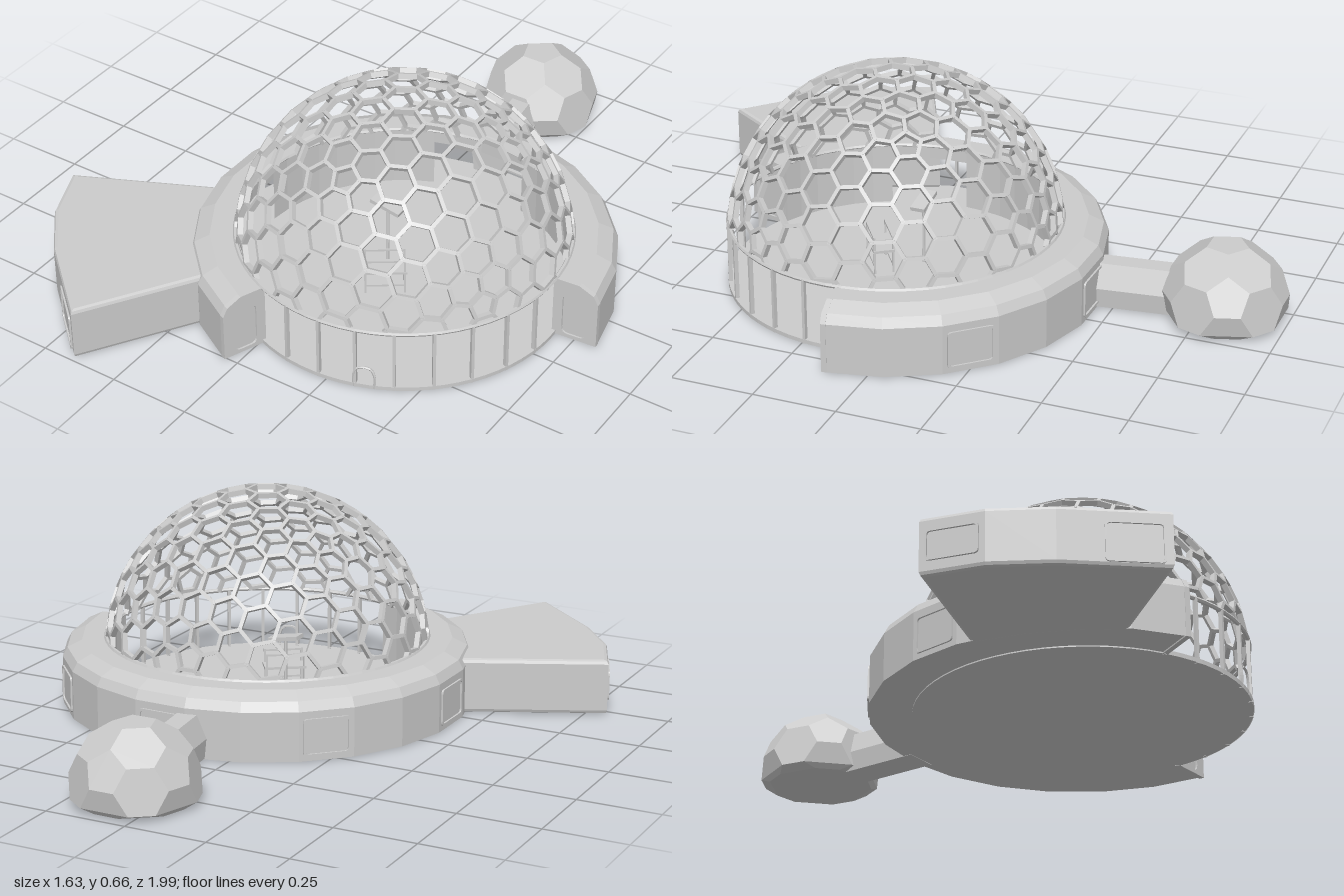
import * as THREE from 'three';
import { mergeGeometries } from 'three/addons/utils/BufferGeometryUtils.js';
import { ConvexGeometry } from 'three/addons/geometries/ConvexGeometry.js';

const CX = 0.19, CZ = 0.17, R = 0.5;          // dome axis and radius
const A0 = -248, A1 = -4.6;                   // ring sweep in degrees, x = cos, z = sin
const rad = THREE.MathUtils.degToRad;
const V = (x, y, z) => new THREE.Vector3(x, y, z);
const grey = new THREE.MeshStandardMaterial({ color: 0xcccccc, flatShading: true });
const thin = new THREE.MeshStandardMaterial({ color: 0xcccccc, flatShading: true, side: THREE.DoubleSide });

function add(parent, name, geo, mat = grey) {
  const m = new THREE.Mesh(geo, mat);
  m.name = name;
  parent.add(m);
  return m;
}

// Profile [radius, y] swept about the dome axis between two angles
function sweep(profile, a0, a1, n) {
  const pts = profile.map(p => new THREE.Vector2(p[0], p[1]));
  return new THREE.LatheGeometry(pts, n, rad(90 - a1), rad(a1 - a0));
}

// Square bar between two points, its depth pointing along "out"
function bar(a, b, w, d, out) {
  const z = b.clone().sub(a), len = z.length();
  z.normalize();
  const x = out.clone().cross(z).normalize(), y = z.clone().cross(x);
  const mid = a.clone().add(b).multiplyScalar(0.5);
  return new THREE.BoxGeometry(w, d, len + w * 0.4)
    .applyMatrix4(new THREE.Matrix4().makeBasis(x, y, z).setPosition(mid));
}

function roundedRect(s, x0, y0, x1, y1, r) {
  s.moveTo(x0 + r, y0); s.lineTo(x1 - r, y0); s.quadraticCurveTo(x1, y0, x1, y0 + r);
  s.lineTo(x1, y1 - r); s.quadraticCurveTo(x1, y1, x1 - r, y1);
  s.lineTo(x0 + r, y1); s.quadraticCurveTo(x0, y1, x0, y1 - r);
  s.lineTo(x0, y0 + r); s.quadraticCurveTo(x0, y0, x0 + r, y0);
  return s;
}

// Framed window on a wall facing the given angle
function wallWindow(parent, x, z, y, w, h, angle) {
  const s = roundedRect(new THREE.Shape(), -w / 2, -h / 2, w / 2, h / 2, 0.012);
  s.holes.push(roundedRect(new THREE.Path(), -w / 2 + 0.006, -h / 2 + 0.006, w / 2 - 0.006, h / 2 - 0.006, 0.01));
  const m = add(parent, 'windowFrame', new THREE.ExtrudeGeometry(s, { depth: 0.012, bevelEnabled: false, curveSegments: 3 }));
  m.position.set(x, y, z);
  m.rotation.y = Math.PI / 2 - rad(angle);
  m.translateZ(-0.006);
}

// Honeycomb lattice: the dual of a subdivided icosahedron, one face turned upward
function honeycomb() {
  const pos = new THREE.IcosahedronGeometry(1, 5).attributes.position;
  const base = new THREE.IcosahedronGeometry(1, 0).attributes.position;
  const c = [0, 1, 2].map(i => V().fromBufferAttribute(base, i));
  const up = c[0].clone().add(c[1]).add(c[2]).normalize();
  const fz = c[0].clone().addScaledVector(up, -c[0].dot(up)).normalize();
  const turn = new THREE.Matrix4().makeBasis(up.clone().cross(fz), up, fz).transpose();
  const key = v => [v.x, v.y, v.z].map(n => Math.round(n * 1e4) + 0).join();
  const edges = new Map(), bars = [], cy = 0.16, cut = 0.2;
  for (let i = 0; i < pos.count; i += 3) {
    const t = [0, 1, 2].map(k => V().fromBufferAttribute(pos, i + k));
    const mid = t[0].clone().add(t[1]).add(t[2]).normalize().applyMatrix4(turn).multiplyScalar(R - 0.008);
    mid.y += cy;
    for (let k = 0; k < 3; k++) {
      const id = [key(t[k]), key(t[(k + 1) % 3])].sort().join('|');
      if (!edges.has(id)) { edges.set(id, mid); continue; }
      let [a, b] = [edges.get(id), mid];
      if (a.y < b.y) [a, b] = [b, a];
      if (a.y <= cut) continue;
      const end = b.y < cut ? a.clone().lerp(b, (a.y - cut) / (a.y - b.y)) : b;
      const out = a.clone().add(end).multiplyScalar(0.5).sub(V(0, cy, 0)).normalize();
      bars.push(bar(a, end, 0.011, 0.016, out));
    }
  }
  return mergeGeometries(bars);
}

// Football-like pod, flattened where it meets the ground
function podGeometry(r, cy) {
  const ico = [V(0, 1, 0), V(0, -1, 0)];
  for (let i = 0; i < 10; i++) {
    const a = i * Math.PI / 5, y = i % 2 ? -1 : 1;
    ico.push(V(Math.sin(a) * 2, y, -Math.cos(a) * 2).divideScalar(Math.sqrt(5)));
  }
  const pts = [];
  for (const a of ico) for (const b of ico) {
    if (a === b || a.distanceTo(b) > 1.1) continue;
    const p = a.clone().lerp(b, 1 / 3).setLength(r);
    p.y = Math.max(p.y + cy, 0.003);
    pts.push(p);
  }
  return new ConvexGeometry(pts);
}

export function createModel() {
  const model = new THREE.Group();
  model.name = 'domeHouse';
  const hall = new THREE.Group();
  hall.name = 'mainHall';
  hall.position.set(CX, 0, CZ);
  model.add(hall);

  // Dome, its foot rail and the floor
  add(hall, 'domeLattice', honeycomb());
  add(hall, 'domeFootRail', new THREE.TorusGeometry(R - 0.005, 0.007, 6, 64).rotateX(Math.PI / 2)).position.y = 0.2;
  add(hall, 'floor', new THREE.CylinderGeometry(R, R, 0.008, 64)).position.y = 0.004;

  // Ring corridor: outer shell, underside, and inner wall with two wide openings
  const outer = [[0.63, 0], [0.63, 0.15], [0.615, 0.178], [0.57, 0.2], [0.49, 0.2]];
  add(hall, 'ringShell', sweep(outer, A0, A1, 16));
  add(hall, 'ringFloor', sweep([[0.49, 0.004], [0.63, 0.004]], A0, A1, 16), thin);
  for (const [a, b] of [[-76, A1], [-177, -112], [A0, -205]])
    add(hall, 'innerWall', sweep([[0.49, 0.2], [0.49, 0]], a, b, Math.ceil((b - a) / 8)));
  for (const [a, b] of [[-112, -76], [-205, -177]])
    add(hall, 'openingLintel', sweep([[0.49, 0.2], [0.49, 0.16]], a, b, 4), thin);

  // End walls of the ring, each with a recessed door
  for (const a of [A0, A1]) {
    const s = new THREE.Shape([...outer, [0.49, 0]].map(p => new THREE.Vector2(p[0], p[1])));
    s.holes.push(roundedRect(new THREE.Path(), 0.52, 0.012, 0.595, 0.152, 0.02));
    const end = add(hall, 'ringEndWall',
      new THREE.ExtrudeGeometry(s, { depth: 0.016, bevelEnabled: false, curveSegments: 4 }).translate(0, 0, -0.008));
    end.rotation.y = -rad(a);
    add(end, 'endDoor', new THREE.BoxGeometry(0.08, 0.145, 0.004)).position.set(0.557, 0.082, 0);
  }

  // Windows centred on every third facet of the outer wall
  for (const k of [2, 5, 8, 11]) {
    const a = A1 - (A1 - A0) / 16 * (k + 0.5);
    wallWindow(hall, 0.624 * Math.cos(rad(a)), 0.624 * Math.sin(rad(a)), 0.072, 0.14, 0.112, a);
  }

  // Open front: mullions, sill and a small arched hatch
  const bars = [];
  for (let i = 0; i <= 9; i++) {
    const a = rad(A1 + (112 - A1) * i / 9), c = Math.cos(a), s = Math.sin(a);
    bars.push(bar(V(c * 0.495, 0, s * 0.495), V(c * 0.495, 0.2, s * 0.495), 0.009, 0.012, V(c, 0, s)));
  }
  add(hall, 'mullions', mergeGeometries(bars));
  add(hall, 'frontSill', sweep([[0.502, 0], [0.502, 0.012], [0.486, 0.012]], A1, 112, 24), thin);
  const arch = new THREE.CatmullRomCurve3([V(-0.03, 0, 0), V(-0.03, 0.045, 0), V(-0.018, 0.068, 0),
    V(0.018, 0.068, 0), V(0.03, 0.045, 0), V(0.03, 0, 0)]);
  const hatch = add(hall, 'archedHatch', new THREE.TubeGeometry(arch, 20, 0.004, 5));
  hatch.position.set(0.17, 0, 0.468);
  hatch.rotation.y = rad(20);

  // Fan-shaped annex
  const plan = [[-0.41, 0.28], [-0.815, 0.47], [-0.745, 0.64], [-0.63, 0.785], [-0.4, 0.99],
    [-0.18, 0.65], [-0.27, 0.56], [-0.35, 0.43]].map(p => new THREE.Vector2(p[0], p[1]));
  const annex = new THREE.ExtrudeGeometry(new THREE.Shape(plan),
    { depth: 0.146, bevelThickness: 0.012, bevelSize: 0.012, bevelOffset: -0.012, bevelSegments: 2 });
  add(model, 'annex', annex.rotateX(Math.PI / 2).translate(0, 0.158, 0));
  wallWindow(model, -0.78, 0.555, 0.085, 0.15, 0.09, 158);
  wallWindow(model, -0.475, 0.922, 0.072, 0.16, 0.118, 132);

  // Pod and the tunnel leading to it
  add(model, 'pod', podGeometry(0.187, 0.05)).position.set(0.075, 0, -0.815);
  const section = new THREE.Shape([[-0.052, 0], [0.052, 0], [0.058, 0.06], [0.03, 0.13], [-0.03, 0.13], [-0.058, 0.06]]
    .map(p => new THREE.Vector2(p[0], p[1])));
  const tunnel = add(model, 'tunnel', new THREE.ExtrudeGeometry(section, { depth: 0.27, bevelEnabled: false }));
  tunnel.position.set(0.09, 0.003, -0.69);
  tunnel.rotation.y = rad(7);

  // Table with rails and a post lamp inside the hall
  const table = new THREE.Group();
  table.name = 'table';
  table.position.set(0.165, 0, 0.235);
  table.rotation.y = rad(35);
  model.add(table);
  add(table, 'tableTop', new THREE.BoxGeometry(0.13, 0.008, 0.065)).position.y = 0.08;
  for (const x of [-0.058, 0.058]) for (const z of [-0.028, 0.028])
    add(table, 'tableLeg', new THREE.BoxGeometry(0.006, 0.12, 0.006)).position.set(x, 0.066, z);
  for (const y of [0.035, 0.122]) for (const z of [-0.028, 0.028])
    add(table, 'tableRail', new THREE.BoxGeometry(0.12, 0.006, 0.006)).position.set(0, y, z);
  add(model, 'lampPost', new THREE.CylinderGeometry(0.005, 0.005, 0.2, 6)).position.set(0.1, 0.108, 0.12);
  const shade = add(model, 'lampShade', new THREE.BoxGeometry(0.1, 0.012, 0.045));
  shade.position.set(0.1, 0.21, 0.12);
  shade.rotation.z = rad(-10);

  return model;
}
